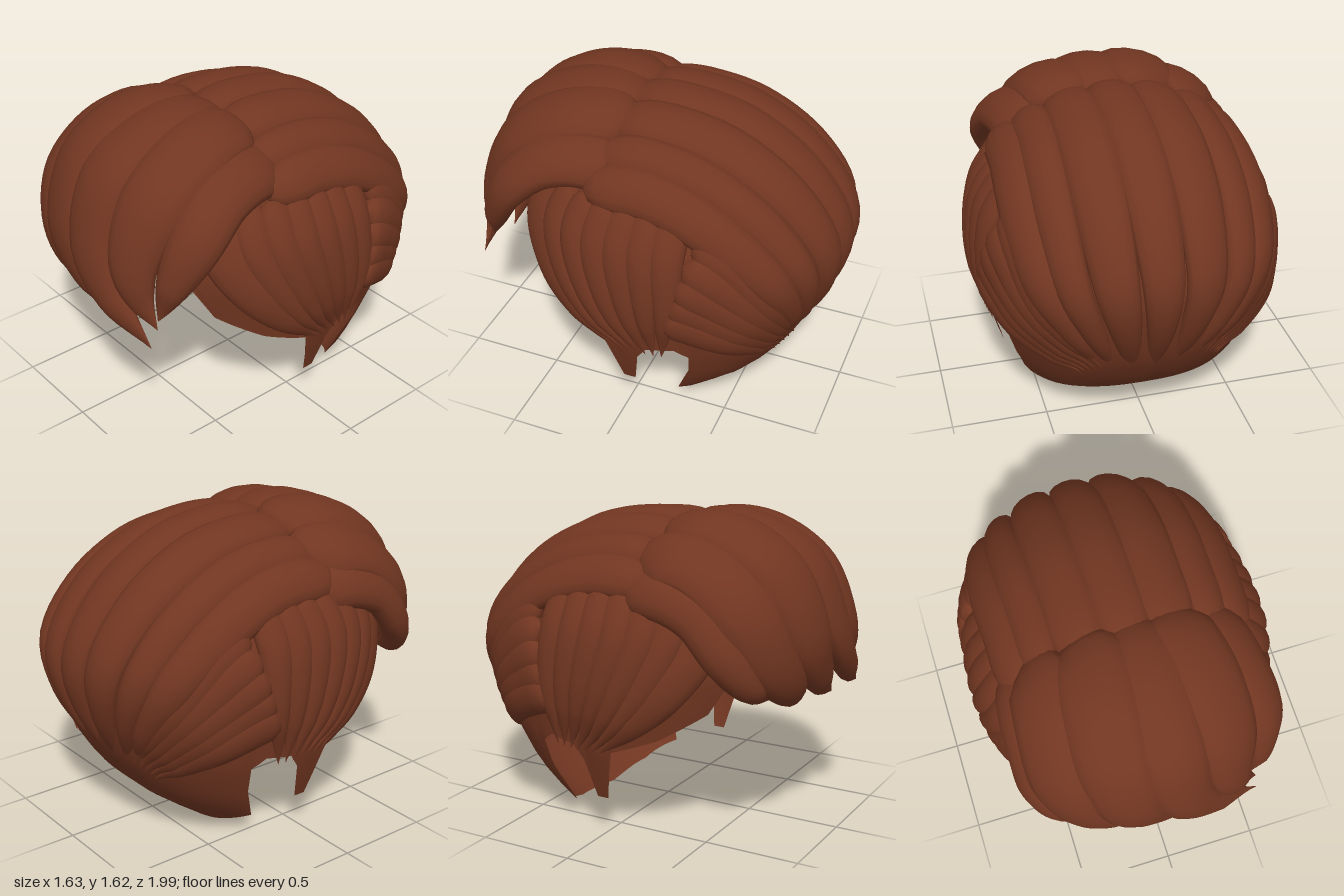
import * as THREE from 'three';

const hair = new THREE.MeshStandardMaterial({ color: 0x713621, side: THREE.DoubleSide });
const lerp = THREE.MathUtils.lerp;

// Piecewise-linear lookup in rows of [key, value, value...]
function look(rows, key, col) {
  let i = 1;
  while (i < rows.length - 1 && rows[i][0] < key) i++;
  const a = rows[i - 1], b = rows[i];
  const t = THREE.MathUtils.clamp((key - a[0]) / (b[0] - a[0]), 0, 1);
  return lerp(a[col], b[col], t);
}

// Head sections: height, half width, depth behind, depth in front
const SECTIONS = [
  [0, 0.55, 0.36, 0.35], [0.1, 0.6, 0.5, 0.4], [0.2, 0.65, 0.63, 0.45], [0.3, 0.68, 0.72, 0.52],
  [0.48, 0.73, 0.83, 0.6], [0.7, 0.75, 0.89, 0.66], [0.85, 0.75, 0.91, 0.7],
];
const MID = 0.85, DOME = 0.66;

function section(y) {
  const s = y > MID ? Math.sqrt(Math.max(0, 1 - ((y - MID) / DOME) ** 2)) : 1;
  return [1, 2, 3].map((c) => look(SECTIONS, y, c) * s);
}

// Point on the side of the head at a given depth and height
function onSide(side, z, y, lift) {
  const [a, back, front] = section(y);
  const c = Math.min(0.98, Math.abs(z) / (z < 0 ? back : front));
  return new THREE.Vector3(side * (a * (1 - c * c) ** 0.375 + lift), y, z);
}

function surface(rows, closed) {
  const n = rows[0].length, index = [];
  for (let i = 0; i < rows.length - 1; i++) {
    for (let j = 0; j < (closed ? n : n - 1); j++) {
      const k = (j + 1) % n, a = i * n + j, b = i * n + k;
      index.push(a, b, a + n, b, b + n, a + n);
    }
  }
  const g = new THREE.BufferGeometry().setFromPoints(rows.flat());
  g.setIndex(index);
  g.computeVertexNormals();
  return g;
}

// Lower edge of the cap: angle from the front, height (ear gap, sideburn, nape)
const RIM = [
  [0, 1.05], [25, 1], [30, 0.85], [38, 0.68], [60, 0.55], [82, 0.47], [88, 0.19], [94.5, 0.19],
  [96.5, 0.4], [100, 0.48], [110, 0.5], [116, 0.45], [118, 0.3], [120, 0.1], [150, 0.03], [180, 0],
];

function capGeometry() {
  const angles = [0];
  for (let i = 1; i < RIM.length; i++) {
    const n = Math.ceil((RIM[i][0] - RIM[i - 1][0]) / 5);
    for (let k = 1; k <= n; k++) angles.push(lerp(RIM[i - 1][0], RIM[i][0], k / n));
  }
  const around = [...angles.slice(1).reverse().map((v) => -v), ...angles];
  const rows = [];
  for (let r = 0; r <= 28; r++) {
    rows.push(around.map((deg) => {
      const rim = look(RIM, Math.abs(deg), 1), phi = THREE.MathUtils.degToRad(deg);
      const y = lerp(rim, MID + DOME, Math.sin((r / 28) * Math.PI / 2));
      const [a, back, front] = section(y);
      const s = Math.sin(phi), c = Math.cos(phi);
      return new THREE.Vector3(Math.sign(s) * a * Math.abs(s) ** 0.75, y, c * (c < 0 ? back : front));
    }));
  }
  return surface(rows, false);
}

// Lock of hair: oval section swept along a path, blunt root and pointed tip
function lockGeometry(points, width, thick, sharp) {
  const curve = new THREE.CatmullRomCurve3(points, false, 'centripetal');
  const rows = [], steps = 32, sides = 14;
  for (let i = 0; i <= steps; i++) {
    const t = i / steps;
    const p = curve.getPointAt(t), T = curve.getTangentAt(t);
    const N = new THREE.Vector3(p.x / 0.6, (p.y - MID) / 0.5, p.z / 0.8);
    N.addScaledVector(T, -N.dot(T)).normalize();
    const B = N.clone().cross(T);
    const root = Math.sqrt(Math.max(0, 1 - (1 - Math.min(1, t / 0.12)) ** 2));
    const size = Math.max(0.01, root * (1 - t ** sharp));
    const row = [];
    for (let j = 0; j < sides; j++) {
      const th = (j / sides) * Math.PI * 2;
      row.push(p.clone().addScaledVector(B, Math.cos(th) * width * size)
        .addScaledVector(N, Math.sin(th) * thick * Math.sqrt(size) * Math.min(1, size * 2)));
    }
    rows.push(row);
  }
  return surface(rows, true);
}

export function createModel() {
  const model = new THREE.Group();
  model.name = 'hair';
  const group = (name) => {
    const g = new THREE.Group();
    g.name = name;
    model.add(g);
    return g;
  };
  const add = (parent, name, geometry) => {
    const m = new THREE.Mesh(geometry, hair);
    m.name = name;
    parent.add(m);
  };
  add(model, 'cap', capGeometry());

  // Fringe locks run forward, then sweep across towards the left: width, path
  const fringe = group('fringe');
  const FRINGE = [
    [0.13, [-0.57, 1.24, 0.1], [-0.6, 1.26, 0.28], [-0.61, 1.18, 0.5], [-0.61, 1.0, 0.65], [-0.53, 0.85, 0.74], [-0.35, 0.755, 0.78]],
    [0.185, [-0.46, 1.34, 0.1], [-0.47, 1.41, 0.26], [-0.49, 1.37, 0.48], [-0.5, 1.19, 0.7], [-0.44, 0.98, 0.8], [-0.29, 0.82, 0.84], [-0.02, 0.67, 0.79]],
    [0.2, [-0.23, 1.46, 0.1], [-0.22, 1.52, 0.26], [-0.23, 1.51, 0.48], [-0.24, 1.36, 0.74], [-0.19, 1.05, 0.89], [-0.05, 0.84, 0.89], [0.22, 0.66, 0.86]],
    [0.185, [0, 1.47, 0.1], [0.02, 1.53, 0.26], [0.04, 1.52, 0.48], [0.04, 1.37, 0.77], [0.09, 1.05, 0.91], [0.23, 0.84, 0.92], [0.5, 0.66, 0.89]],
    [0.19, [0.22, 1.46, 0.1], [0.25, 1.51, 0.26], [0.3, 1.48, 0.48], [0.33, 1.32, 0.73], [0.34, 1.05, 0.86], [0.39, 0.89, 0.87], [0.5, 0.75, 0.85]],
    [0.15, [0.45, 1.33, 0.1], [0.48, 1.38, 0.26], [0.52, 1.34, 0.48], [0.56, 1.2, 0.65], [0.53, 1.0, 0.76], [0.48, 0.78, 0.83]],
  ];
  for (const [w, ...path] of FRINGE) {
    add(fringe, 'fringeLock', lockGeometry(path.map((p) => new THREE.Vector3(...p)), w, 0.085, 4));
  }

  // Crown locks run over the top and gather at the nape: height, depth, spread
  const CROWN = [[1.48, 0.25, 1], [1.53, 0.08, 1], [1.53, -0.12, 1], [1.47, -0.4, 1.02], [1.26, -0.73, 1.02],
    [0.95, -0.93, 0.94], [0.65, -0.88, 0.7], [0.35, -0.75, 0.42]];
  const crown = group('crown');
  for (const [x0, w] of [[-0.57, 0.125], [-0.43, 0.115], [-0.23, 0.145], [0, 0.14], [0.23, 0.145], [0.43, 0.115], [0.57, 0.125]]) {
    const path = CROWN.map(([y, z, k]) => {
      const x = x0 * k, r = Math.abs(x) / 0.79;
      const y1 = MID + (y - MID) * Math.sqrt(1 - r * r);
      return new THREE.Vector3(x, y1, z * (z < 0 ? (1 - r ** 2.3) ** 0.44 : 1));
    });
    add(crown, 'crownLock', lockGeometry(path, w, 0.07, 3.5));
  }

  for (const side of [-1, 1]) {
    const label = side > 0 ? 'left' : 'right';
    // Temple locks fan down to the ear
    const temple = group(label + 'Temple');
    for (let i = 0; i < 7; i++) {
      const u = i / 6, z0 = lerp(0.46, -0.27, u), tip = lerp(0.02, -0.23, u);
      const path = [[z0 * 0.92, 1.27], [z0 + 0.02, 1.08], [lerp(z0, tip, 0.2), 0.82],
        [lerp(z0, tip, 0.58), 0.62], [tip, 0.46]].map(([z, y]) => onSide(side, z, y, 0.02));
      add(temple, 'templeLock', lockGeometry(path, i ? 0.09 : 0.13, 0.055, 2.5));
    }
    // Locks behind the ear sweep back to the nape
    const sweep = group(label + 'BackSweep');
    for (let i = 0; i < 5; i++) {
      const u = i / 4;
      const path = [[lerp(-0.36, -0.25, u), lerp(1.17, 0.73, u)], [lerp(-0.54, -0.36, u), lerp(1.06, 0.7, u)],
        [lerp(-0.72, -0.55, u), lerp(0.81, 0.6, u)], [lerp(-0.79, -0.72, u), lerp(0.45, 0.38, u)]]
        .map(([z, y]) => onSide(side, z, y, 0.03));
      add(sweep, 'backSweepLock', lockGeometry(path, 0.1, 0.055, 3));
    }
  }
  return model;
}
